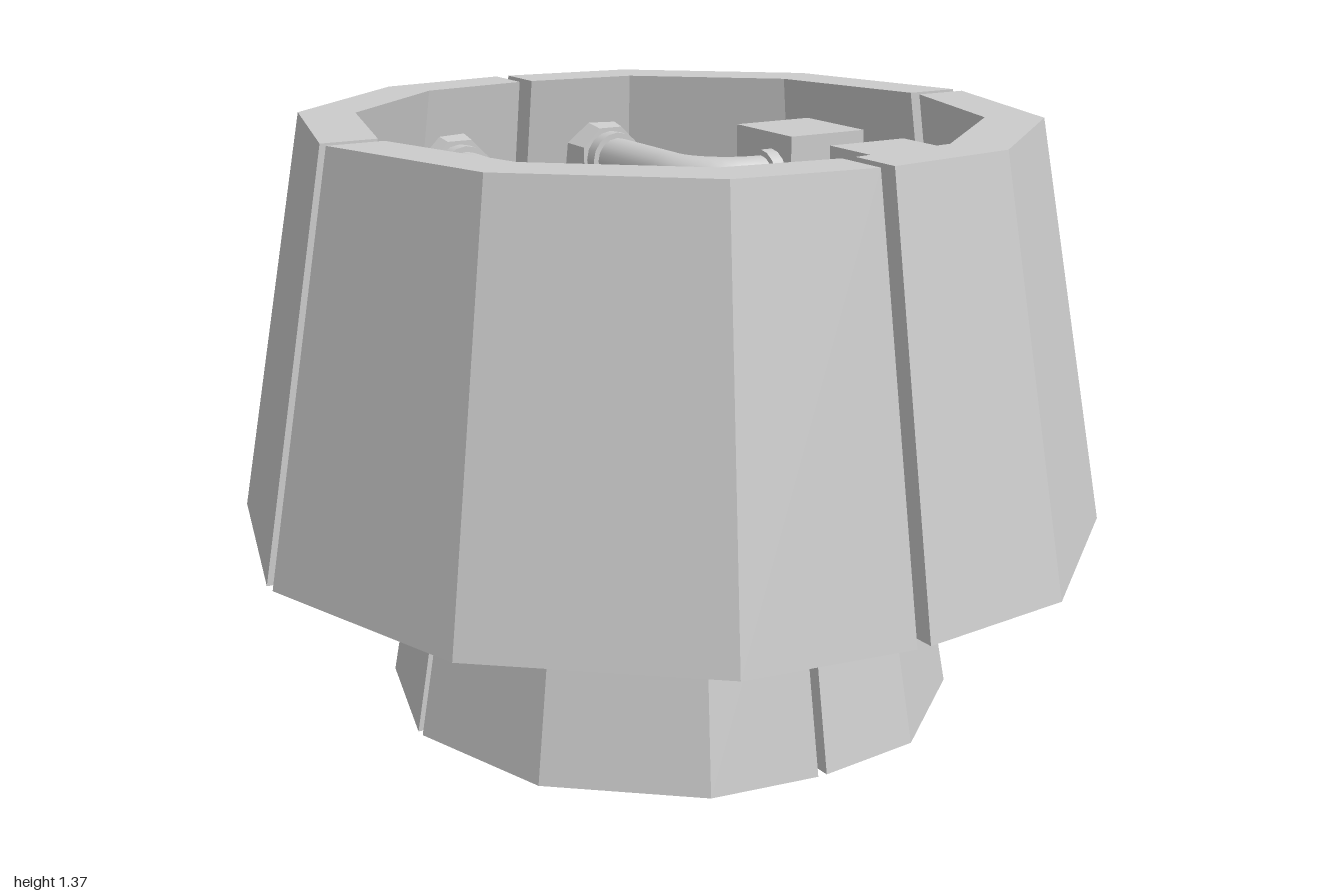
import * as THREE from 'three';

const mat = new THREE.MeshStandardMaterial({ color: 0xcccccc });
const flatMat = new THREE.MeshStandardMaterial({ color: 0xcccccc, flatShading: true });
const V = (x, y, z) => new THREE.Vector3(x, y, z);

// Outline of one quarter of the armour ring, and the half-gap between quarters
const OUTLINE = [[1, 0], [0.84, 0.57], [0.405, 0.94], [0, 0.99]];
const GAP = 0.017, WALL = 0.843, TAPER = 0.833;

function add(parent, geometry, name, material = mat) {
  const mesh = new THREE.Mesh(geometry, material);
  mesh.name = name;
  parent.add(mesh);
  return mesh;
}

// Tapered wall segment lofted between a lower and an upper closed loop
function panelGeometry(sx, sz, size, y0, y1) {
  const row = (k, y) => OUTLINE.map(([x, z]) =>
    V(sx * size * Math.max(x * k, GAP), y, sz * size * Math.max(z * k, GAP)));
  const loop = (k, y) => [...row(k, y), ...row(k * WALL, y).reverse()];
  const low = loop(1, y0), high = loop(TAPER, y1), pos = [];
  const quad = (a, b, c, d) => {
    const order = sx * sz > 0 ? [a, d, c, a, c, b] : [a, b, c, a, c, d];
    order.forEach((p) => pos.push(p.x, p.y, p.z));
  };
  const n = low.length;
  for (let i = 0; i < n; i++) {
    const j = (i + 1) % n;
    quad(low[i], low[j], high[j], high[i]);
  }
  for (let i = 0; i < 3; i++) {
    quad(high[i], high[i + 1], high[n - 2 - i], high[n - 1 - i]);
    quad(low[i + 1], low[i], low[n - 1 - i], low[n - 2 - i]);
  }
  const g = new THREE.BufferGeometry();
  g.setAttribute('position', new THREE.Float32BufferAttribute(pos, 3));
  g.computeVertexNormals();
  return g;
}

// Round or polygonal stub between two points
function stub(parent, a, b, r0, r1, name, sides = 16) {
  const dir = b.clone().sub(a);
  const g = new THREE.CylinderGeometry(r1, r0, dir.length(), sides);
  if (sides === 8) g.rotateY(Math.PI / 8);
  const m = add(parent, g, name, sides === 8 ? flatMat : mat);
  m.position.copy(a).add(b).multiplyScalar(0.5);
  m.quaternion.setFromUnitVectors(V(0, 1, 0), dir.normalize());
}

// Pipe with one rounded right-angle bend
function elbow(parent, a, corner, b, bend, r, name) {
  const p = corner.clone().add(a.clone().sub(corner).setLength(bend));
  const q = corner.clone().add(b.clone().sub(corner).setLength(bend));
  const h = 0.56;
  const path = new THREE.CurvePath();
  path.add(new THREE.LineCurve3(a, p));
  path.add(new THREE.CubicBezierCurve3(p, p.clone().lerp(corner, h), q.clone().lerp(corner, h), q));
  path.add(new THREE.LineCurve3(q, b));
  add(parent, new THREE.TubeGeometry(path, 24, r, 16), name);
}

export function createModel() {
  const model = new THREE.Group();
  model.name = 'pipedRing';

  for (const sx of [1, -1]) for (const sz of [1, -1]) {
    // Armour walls: wide upper ring and the smaller lower ring
    add(model, panelGeometry(sx, sz, 1, 0.42, 1.365), 'upperWall', flatMat);
    add(model, panelGeometry(sx, sz, 0.66, 0, 0.63), 'lowerWall', flatMat);

    // Pipework of this quarter
    const works = new THREE.Group();
    works.name = 'pipework';
    works.position.z = -0.02;
    model.add(works);
    const P = (x, y, z) => V(sx * x, y, sz * z);

    // Junction box
    const box = add(works, new THREE.BoxGeometry(0.215, 0.61, 0.24), 'junctionBox');
    box.position.copy(P(0.517, 0.965, 0.2));

    // Main pipe from the box to the wall
    const y = 1.16, z = 0.165;
    elbow(works, P(0.42, y, z), P(0.215, y, z), P(0.215, y, 0.6), 0.16, 0.056, 'mainPipe');
    stub(works, P(0.415, y, z), P(0.378, y, z), 0.07, 0.07, 'mainPipeCollar');
    stub(works, P(0.215, y, 0.585), P(0.215, y, 0.625), 0.07, 0.07, 'mainPipeCollar');
    stub(works, P(0.215, y, 0.62), P(0.215, y, 0.7), 0.085, 0.1, 'wallFlange', 8);

    // Thin pipe below the main one
    const ty = 1.0;
    elbow(works, P(0.42, ty, 0.285), P(0.313, ty, 0.285), P(0.313, ty, 0.39), 0.085, 0.026, 'thinPipe');
    stub(works, P(0.415, ty, 0.285), P(0.395, ty, 0.285), 0.036, 0.036, 'thinPipeCollar');
    stub(works, P(0.313, ty, 0.382), P(0.313, ty, 0.402), 0.036, 0.036, 'thinPipeCollar');

    // Short outlet from the back of the box into the wall
    stub(works, P(0.6, 0.73, z), P(0.78, 0.73, z), 0.056, 0.056, 'outletPipe');
    stub(works, P(0.62, 0.73, z), P(0.658, 0.73, z), 0.07, 0.07, 'outletCollar');
  }
  return model;
}
